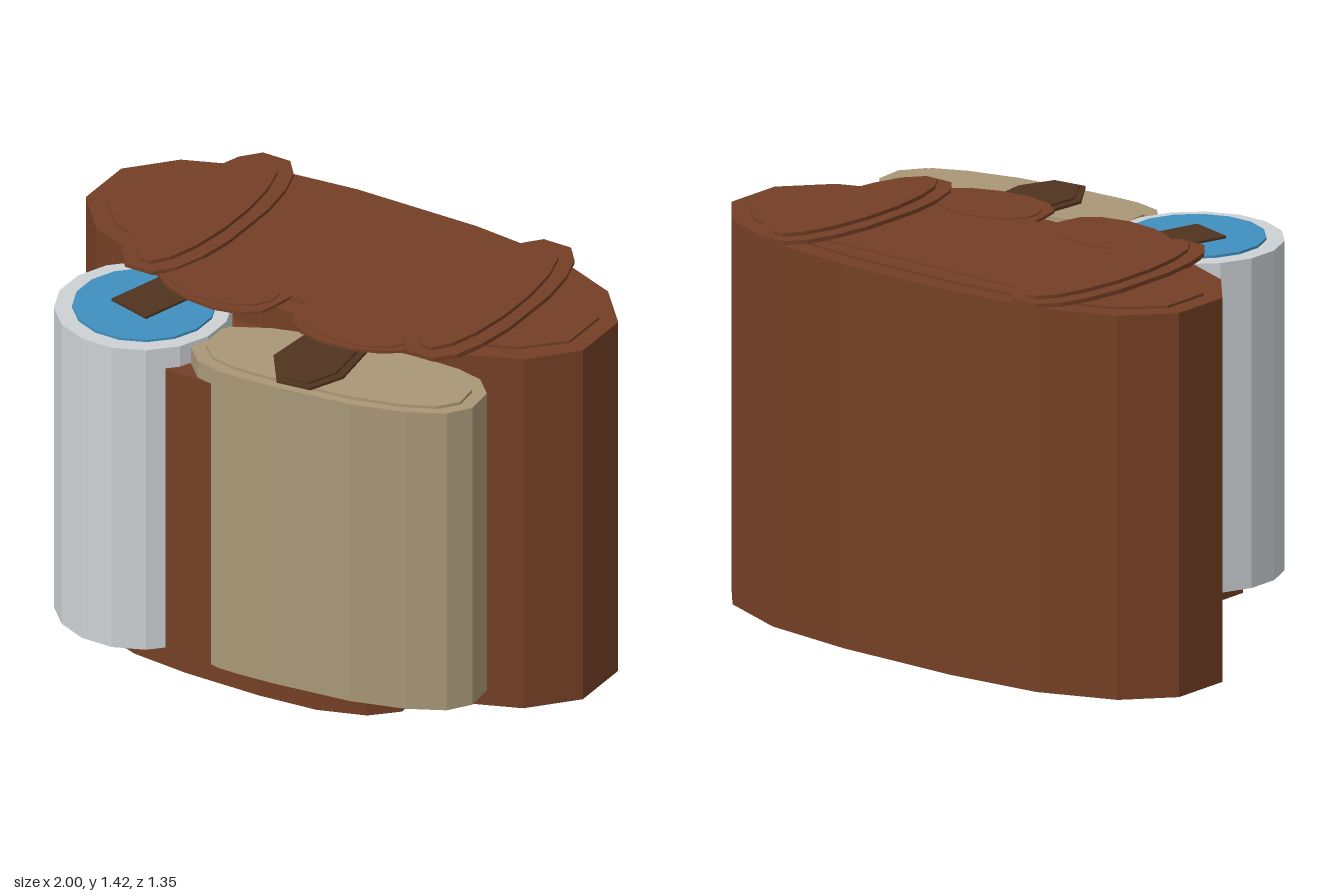
import * as THREE from 'three';

const flat = (name, color) => {
  const m = new THREE.MeshStandardMaterial({ color });
  m.name = name;
  return m;
};

// Upright prism from a plan outline of [x, z] points, between heights y0 and y1
function prism(name, pts, y0, y1, material) {
  const shape = new THREE.Shape(pts.map(([x, z]) => new THREE.Vector2(x, -z)));
  const geo = new THREE.ExtrudeGeometry(shape, { depth: y1 - y0, bevelEnabled: false });
  geo.rotateX(-Math.PI / 2).translate(0, y0, 0);
  const mesh = new THREE.Mesh(geo, material);
  mesh.name = name;
  return mesh;
}

// Sixteen-sided outline from one quadrant of points, mirrored about both axes
function mirrored(quad, cx, cz, sx = 1, sz = 1) {
  const rev = [...quad].reverse();
  return [
    ...quad,
    ...rev.map(([x, z]) => [-x, z]),
    ...quad.map(([x, z]) => [-x, -z]),
    ...rev.map(([x, z]) => [x, -z]),
  ].map(([x, z]) => [cx + x * sx, cz + z * sz]);
}

const disc = (cx, cz, rx, rz, n = 16) => Array.from({ length: n }, (_, i) => {
  const a = ((i + 0.5) / n) * Math.PI * 2;
  return [cx + Math.cos(a) * rx, cz + Math.sin(a) * rz];
});

const scaled = (pts, cx, cz, sx, sz) =>
  pts.map(([x, z]) => [cx + (x - cx) * sx, cz + (z - cz) * sz]);

export function createModel() {
  const brown = flat('brown leather', 0x743f25);
  const dark = flat('dark leather', 0x50341f);
  const tan = flat('tan canvas', 0xa99877);
  const silver = flat('silver metal', 0xcdd1d5);
  const blue = flat('blue lid', 0x3f8fbf);
  const model = new THREE.Group();
  model.name = 'pack';

  // Main body and the slightly inset panel on its top
  const quad = [[1, 0.115], [0.86, 0.275], [0.59, 0.383], [0.24, 0.42]];
  model.add(prism('body', mirrored(quad, 0, -0.255), 0, 1.375, brown));
  model.add(prism('topPanel', mirrored(quad, 0, -0.255, 0.935, 0.835), 1.375, 1.384, brown));

  // Top flap with two rounded lobes hanging over the front
  const lobe = [[0.03, 0.09], [0.045, 0.17], [0.06, 0.23], [0.12, 0.275], [0.22, 0.297],
    [0.34, 0.285], [0.43, 0.25], [0.5, 0.2], [0.67, 0.14], [0.7, 0.04], [0.66, -0.53]];
  const half = [...lobe].reverse().map(([x, z]) => [-x, z]);
  model.add(prism('flap', [...half, ...lobe], 1.38, 1.39, brown));
  for (const s of [-1, 1]) {
    model.add(prism('lobePanel', disc(s * 0.275, 0.13, 0.21, 0.14), 1.389, 1.394, brown));
  }

  // Shoulder straps, two stacked oval layers each side
  const strap = [[0.165, 0.13], [0.145, 0.27], [0.11, 0.38], [0.055, 0.447]];
  for (const s of [-1, 1]) {
    model.add(prism('strap', mirrored(strap, s * 0.565, -0.23), 1.389, 1.404, brown));
    model.add(prism('strapPad', disc(s * 0.565, -0.23, 0.12, 0.415), 1.404, 1.417, brown));
  }

  // Low front pocket behind the bottle and the pouch
  model.add(prism('frontPocket', mirrored(quad, 0, 0.36, 0.62, 0.535), 0.11, 1.28, brown));

  // Canvas pouch: a tilted oval, symmetric about its centre
  const px = 0.335, pz = 0.37;
  const side = [[0.07, 0.593], [0.2, 0.585], [0.49, 0.55], [0.68, 0.495],
    [0.805, 0.43], [0.86, 0.35], [0.85, 0.24], [0.78, 0.17], [0.68, 0.147]];
  const pouch = [...side, ...side.map(([x, z]) => [2 * px - x, 2 * pz - z])];
  model.add(prism('pouch', pouch, 0.175, 1.345, tan));
  model.add(prism('pouchLid', scaled(pouch, px, pz, 0.91, 0.83), 1.345, 1.356, tan));

  // Closing tab of the pouch
  const tab = [[0.13, 0.2], [0.11, 0.43], [0.21, 0.572], [0.335, 0.557], [0.39, 0.43], [0.36, 0.2]];
  model.add(prism('pouchTab', tab, 1.356, 1.366, dark));
  model.add(prism('pouchTabPanel', scaled(tab, 0.25, 0.4, 0.8, 0.88), 1.366, 1.373, dark));

  // Metal bottle with a blue lid and a small leather tab
  model.add(prism('bottle', disc(-0.453, 0.37, 0.305, 0.307), 0.18, 1.36, silver));
  model.add(prism('bottleLid', disc(-0.448, 0.37, 0.247, 0.247), 1.36, 1.369, blue));
  model.add(prism('bottleTab',
    [[-0.49, 0.18], [-0.555, 0.41], [-0.388, 0.455], [-0.325, 0.23]], 1.369, 1.378, dark));

  return model;
}
